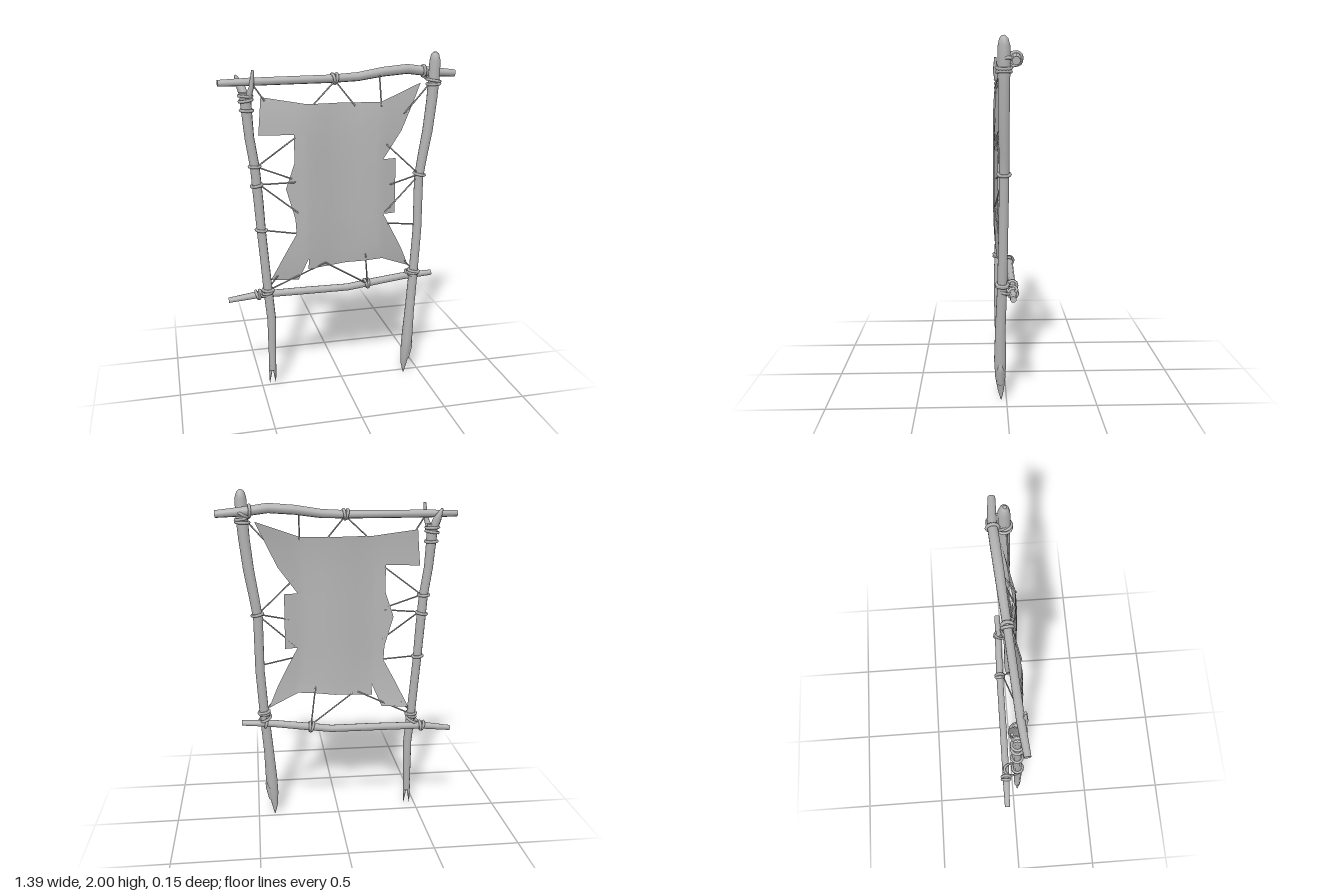
import * as THREE from 'three';
import { mergeVertices } from 'three/addons/utils/BufferGeometryUtils.js';

const V = (a) => new THREE.Vector3(a[0], a[1], a[2]);
const Z = new THREE.Vector3(0, 0, 1);

// Closed branch lofted through rings; each point is [x, y, z, radius]
function branchGeometry(points, sides = 10) {
  const pos = [], idx = [];
  const ring = (i) => {
    const p = V(points[i]);
    const t = V(points[Math.min(i + 1, points.length - 1)]).sub(V(points[Math.max(i - 1, 0)])).normalize();
    const u = new THREE.Vector3().crossVectors(Z, t).normalize();
    const v = new THREE.Vector3().crossVectors(t, u);
    const start = pos.length / 3;
    for (let j = 0; j < sides; j++) {
      const a = (j / sides) * Math.PI * 2;
      const q = p.clone().addScaledVector(u, Math.cos(a) * points[i][3]).addScaledVector(v, Math.sin(a) * points[i][3]);
      pos.push(q.x, q.y, q.z);
    }
    return start;
  };
  const starts = points.map((_, i) => ring(i));
  for (let i = 0; i < points.length - 1; i++) {
    for (let j = 0; j < sides; j++) {
      const k = (j + 1) % sides, a = starts[i], b = starts[i + 1];
      idx.push(a + j, a + k, b + j, a + k, b + k, b + j);
    }
  }
  // End caps with their own vertices for a sharp rim
  for (const [i, last] of [[0, false], [points.length - 1, true]]) {
    const s = ring(i), c = pos.length / 3;
    pos.push(points[i][0], points[i][1], points[i][2]);
    for (let j = 0; j < sides; j++) {
      const k = (j + 1) % sides;
      if (last) idx.push(c, s + j, s + k);
      else idx.push(c, s + k, s + j);
    }
  }
  const g = new THREE.BufferGeometry();
  g.setAttribute('position', new THREE.Float32BufferAttribute(pos, 3));
  g.setIndex(idx);
  g.computeVertexNormals();
  return g;
}

// Height of the stretched hide: two soft ridges, corners pulled back
function hideZ(x, y) {
  const ax = Math.abs(x);
  const ridge = ax < 0.22 ? 0.035 + 0.028 * Math.sin((ax / 0.22) * Math.PI / 2) : 0.063 - 0.2 * (ax - 0.22);
  return ridge - 0.02 * Math.pow(Math.abs(y - 1.25) / 0.55, 4);
}

// Sheet lofted over rows of [x, y] control points
function sheetGeometry(rows, steps = 4, sub = 4) {
  const pos = [], idx = [];
  const fine = [];
  const at = (row, f) => {
    const n = row.length - 1, i = Math.min(Math.floor(f), n - 1), s = f - i;
    return [row[i][0] + (row[i + 1][0] - row[i][0]) * s, row[i][1] + (row[i + 1][1] - row[i][1]) * s];
  };
  const cols = (rows[0].length - 1) * steps;
  rows.forEach((row, r) => {
    const next = rows[r + 1];
    for (let k = 0; k < (next ? sub : 1); k++) {
      const line = [];
      for (let c = 0; c <= cols; c++) {
        const a = at(row, c / steps), b = next ? at(next, c / steps) : a, s = k / sub;
        line.push([a[0] + (b[0] - a[0]) * s, a[1] + (b[1] - a[1]) * s]);
      }
      fine.push(line);
    }
  });
  fine.forEach((line) => line.forEach(([x, y]) => pos.push(x, y, hideZ(x, y))));
  const w = cols + 1;
  for (let r = 0; r < fine.length - 1; r++) {
    // Rows at the same height are steps in the outline and need no faces
    if (fine[r].every((p, c) => Math.abs(p[1] - fine[r + 1][c][1]) < 1e-6)) continue;
    for (let c = 0; c < cols; c++) {
      const a = r * w + c, b = a + w;
      idx.push(a, b, a + 1, b, b + 1, a + 1);
    }
  }
  let g = new THREE.BufferGeometry();
  g.setAttribute('position', new THREE.Float32BufferAttribute(pos, 3));
  g.setIndex(idx);
  g = mergeVertices(g, 1e-4);
  g.computeVertexNormals();
  return g;
}

export function createModel() {
  const model = new THREE.Group();
  const grey = new THREE.MeshStandardMaterial({ color: 0xb4b4b4 });
  grey.name = 'grey';
  const greySheet = grey.clone();
  greySheet.side = THREE.DoubleSide;
  const add = (name, geometry, material = grey) => {
    const m = new THREE.Mesh(geometry, material);
    m.name = name;
    model.add(m);
    return m;
  };

  // Main frame branches
  const leftPole = [[-0.44, 0.12, 0.03, 0.02], [-0.438, 0.3, 0.03, 0.024], [-0.437, 0.45, 0.03, 0.026], [-0.45, 0.6, 0.025, 0.027],
    [-0.465, 0.8, 0.02, 0.026], [-0.48, 1.0, 0.015, 0.026], [-0.492, 1.2, 0.012, 0.028], [-0.505, 1.38, 0.01, 0.027],
    [-0.53, 1.55, 0.008, 0.027], [-0.54, 1.7, 0.005, 0.03], [-0.545, 1.8, 0.005, 0.034]];
  const rightPole = [[0.4, 0, 0.03, 0.003], [0.4, 0.06, 0.032, 0.018], [0.407, 0.14, 0.035, 0.03], [0.417, 0.24, 0.036, 0.035],
    [0.428, 0.42, 0.035, 0.03], [0.45, 0.68, 0.025, 0.028], [0.468, 0.95, 0.02, 0.027], [0.47, 1.27, 0.015, 0.028],
    [0.49, 1.4, 0.015, 0.029], [0.515, 1.55, 0.018, 0.031], [0.535, 1.73, 0.018, 0.032], [0.543, 1.85, 0.018, 0.034],
    [0.547, 1.95, 0.018, 0.033], [0.545, 1.985, 0.02, 0.024], [0.543, 2, 0.022, 0.01]];
  const topBar = [[-0.695, 1.855, 0.036, 0.018], [-0.52, 1.857, 0.018, 0.022], [-0.05, 1.86, -0.008, 0.023], [0.1, 1.867, -0.018, 0.025],
    [0.25, 1.89, -0.028, 0.027], [0.4, 1.902, -0.038, 0.028], [0.52, 1.886, -0.045, 0.027], [0.69, 1.872, -0.037, 0.021]];
  const bottomBar = [[-0.68, 0.563, -0.055, 0.016], [-0.5, 0.585, -0.05, 0.022], [-0.2, 0.586, -0.045, 0.023], [0.05, 0.585, -0.043, 0.022],
    [0.2, 0.605, -0.041, 0.023], [0.4, 0.63, -0.035, 0.022], [0.585, 0.64, -0.03, 0.017]];
  add('leftPole', branchGeometry(leftPole));
  add('rightPole', branchGeometry(rightPole));
  add('topBar', branchGeometry(topBar));
  add('bottomBar', branchGeometry(bottomBar));

  // Forked top, split foot and a broken twig
  add('forkBack', branchGeometry([[-0.545, 1.77, -0.005, 0.026], [-0.565, 1.83, -0.022, 0.024], [-0.592, 1.89, -0.028, 0.007]], 8));
  add('forkFront', branchGeometry([[-0.535, 1.76, 0.02, 0.02], [-0.513, 1.83, 0.042, 0.014], [-0.503, 1.92, 0.04, 0.008]], 8));
  add('leftFootSplinter', branchGeometry([[-0.45, 0.15, 0.03, 0.013], [-0.453, 0.1, 0.03, 0.009], [-0.459, 0.03, 0.03, 0.001]], 6));
  add('rightFootSplinter', branchGeometry([[-0.43, 0.15, 0.03, 0.013], [-0.427, 0.1, 0.03, 0.009], [-0.422, 0.03, 0.03, 0.001]], 6));
  add('footKnob', branchGeometry([[0.415, 0.1, 0.035, 0.02], [0.43, 0.18, 0.035, 0.024], [0.442, 0.208, 0.035, 0.013], [0.43, 0.26, 0.035, 0.008]], 8));

  // Hide with stepped, torn edges
  add('hide', sheetGeometry([
    [[-0.46, 1.77], [-0.21, 1.73], [0.22, 1.73], [0.475, 1.825]],
    [[-0.48, 1.56], [-0.21, 1.56], [0.2, 1.56], [0.35, 1.56]],
    [[-0.285, 1.56], [-0.21, 1.56], [0.2, 1.56], [0.35, 1.56]],
    [[-0.285, 1.4], [-0.2, 1.4], [0.18, 1.4], [0.235, 1.4]],
    [[-0.285, 1.4], [-0.2, 1.4], [0.18, 1.4], [0.315, 1.4]],
    [[-0.335, 1.25], [-0.2, 1.25], [0.18, 1.25], [0.315, 1.25]],
    [[-0.285, 1.07], [-0.2, 1.07], [0.18, 1.07], [0.315, 1.07]],
    [[-0.285, 1.07], [-0.2, 1.07], [0.18, 1.07], [0.24, 1.07]],
    [[-0.28, 0.98], [-0.2, 0.98], [0.19, 0.98], [0.29, 0.98]],
    [[-0.355, 0.84], [-0.205, 0.84], [0.22, 0.85], [0.365, 0.84]],
    [[-0.21, 0.84], [-0.205, 0.84], [0.22, 0.85], [0.365, 0.84]],
    [[-0.212, 0.76], [-0.2, 0.76], [0.24, 0.79], [0.42, 0.715]],
  ]), greySheet);
  add('hideLegFlap', sheetGeometry([[[-0.355, 0.84], [-0.205, 0.84]], [[-0.43, 0.69], [-0.27, 0.69]]]), greySheet);

  // Lashings: thin cords from frame to hide
  const cord = (x1, y1, z1, x2, y2) => add('cord', branchGeometry([[x1, y1, z1, 0.0045], [x2, y2, hideZ(x2, y2) + 0.003, 0.0045]], 5));
  [[-0.04, 1.85, 0.01, -0.17, 1.73], [-0.04, 1.85, 0.01, 0.07, 1.71], [0.225, 1.88, -0.01, 0.22, 1.705], [-0.51, 1.85, 0.03, -0.44, 1.75],
    [0.53, 1.84, 0.03, 0.365, 1.655], [-0.5, 1.38, 0.02, -0.28, 1.545], [-0.5, 1.385, 0.02, -0.3, 1.31], [-0.49, 1.28, 0.02, -0.28, 1.29],
    [-0.49, 1.285, 0.02, -0.27, 1.11], [-0.48, 1.01, 0.02, -0.28, 0.985], [0.47, 1.29, 0.02, 0.255, 1.485], [0.47, 1.29, 0.02, 0.28, 1.245],
    [0.47, 1.285, 0.02, 0.25, 1.08], [0.46, 0.98, 0.02, 0.27, 1.01], [-0.46, 0.635, 0.02, -0.39, 0.72], [-0.45, 0.635, 0.02, -0.11, 0.79],
    [0.17, 0.605, -0.02, -0.11, 0.79], [0.17, 0.605, -0.02, 0.135, 0.825], [0.45, 0.68, 0.03, 0.395, 0.75],
  ].forEach((c) => cord(...c));

  // Cord windings around a branch, placed by coordinate along its main axis
  const winding = (points, axis, value, tilt = 0) => {
    const i = Math.max(1, points.findIndex((p) => p[axis] >= value));
    const a = points[i - 1], b = points[i], s = (value - a[axis]) / (b[axis] - a[axis]);
    const p = a.map((n, k) => n + (b[k] - n) * s);
    const m = add('winding', new THREE.TorusGeometry(p[3] + 0.004, 0.009, 6, 14));
    const dir = V(b).sub(V(a)).normalize();
    dir[axis === 1 ? 'x' : 'y'] += tilt;
    m.position.set(p[0], p[1], p[2]);
    m.quaternion.setFromUnitVectors(Z, dir.normalize());
  };
  [[1.78, 0.1], [1.755, -0.1], [1.7, 0.1], [1.385, 0.15], [1.275, -0.1], [1.01, 0.15], [0.64, 0.1], [0.625, -0.2]].forEach((w) => winding(leftPole, 1, ...w));
  [[1.84, 0.1], [1.82, -0.1], [1.29, 0.05], [0.685, 0.1], [0.675, -0.1]].forEach((w) => winding(rightPole, 1, ...w));
  [[-0.045, 0.2], [-0.03, -0.2], [0.5, 0.1]].forEach((w) => winding(topBar, 0, ...w));
  [[-0.51, 0.2], [-0.495, -0.1], [0.165, 0.2], [0.178, -0.1], [0.44, 0.2]].forEach((w) => winding(bottomBar, 0, ...w));

  // Cross lashings binding poles to bars
  const bind = (x, y, z, r, turn) => {
    const m = add('jointLashing', new THREE.TorusGeometry(r, 0.009, 6, 16));
    m.position.set(x, y, z);
    m.rotation.set(Math.PI / 2, turn, 0);
    m.scale.set(0.75, 1, 1);
  };
  bind(0.54, 1.87, -0.015, 0.055, 0.5);
  bind(0.445, 0.655, -0.005, 0.05, -0.4);
  bind(-0.455, 0.61, -0.008, 0.05, 0.4);

  return model;
}
